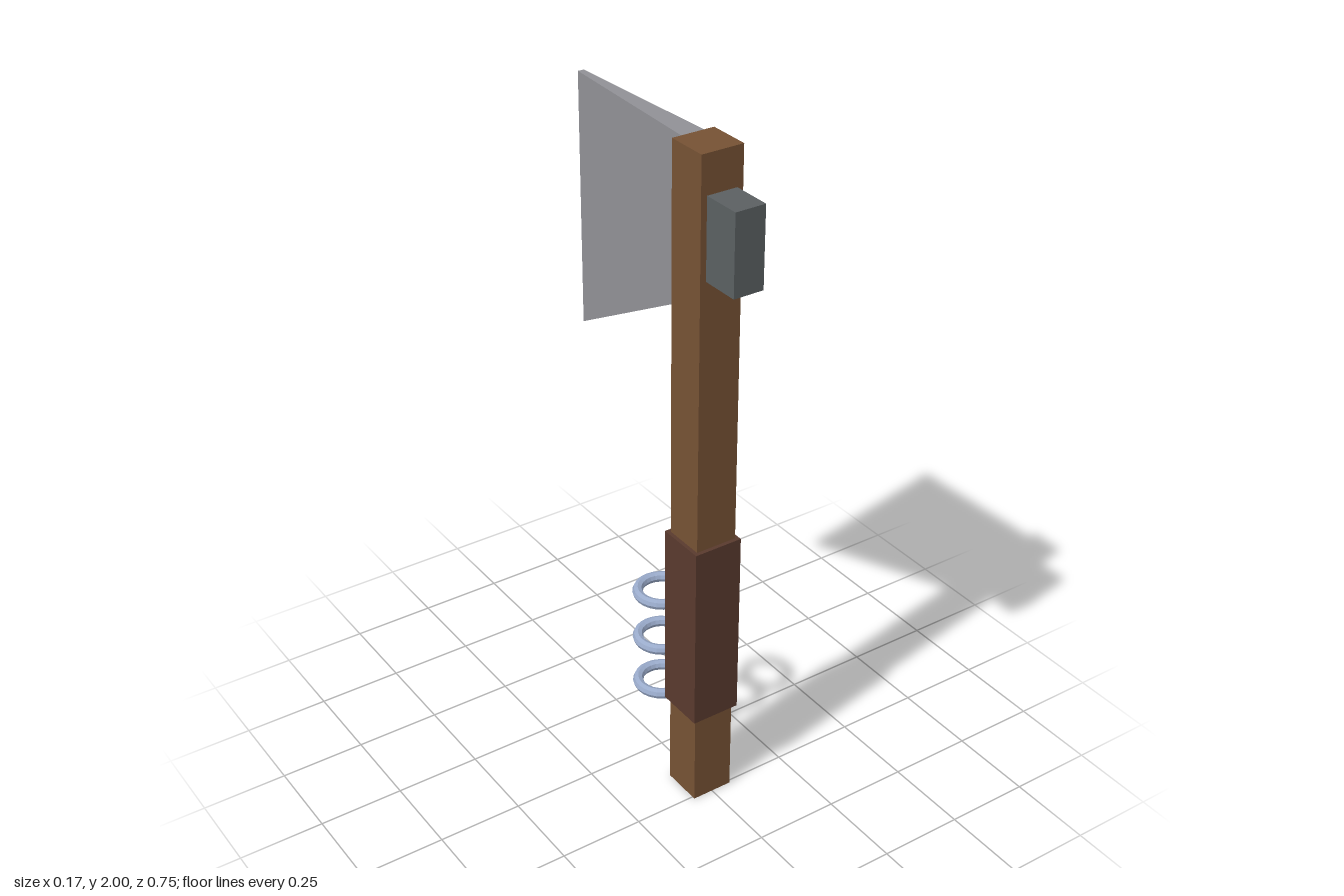
import * as THREE from 'three';

const material = (name, color) => {
  const m = new THREE.MeshStandardMaterial({ color });
  m.name = name;
  return m;
};

export function createModel() {
  const wood = material('wood', 0x765234);
  const leather = material('leather', 0x593a2e);
  const steel = material('steel', 0x919196);
  const iron = material('darkIron', 0x5b6062);
  const ringMetal = material('ringMetal', 0x9aabcb);
  ringMetal.flatShading = true;

  const model = new THREE.Group();
  model.name = 'axe';
  const add = (name, geometry, mat, x, y, z) => {
    const mesh = new THREE.Mesh(geometry, mat);
    mesh.name = name;
    mesh.position.set(x, y, z);
    model.add(mesh);
    return mesh;
  };

  // Square shaft, wrapped grip and blunt poll
  const shaftZ = 0.197;
  add('handle', new THREE.BoxGeometry(0.125, 2, 0.124), wood, 0, 1, shaftZ);
  add('grip', new THREE.BoxGeometry(0.147, 0.57, 0.147), leather, 0, 0.575, shaftZ);
  add('poll', new THREE.BoxGeometry(0.09, 0.23, 0.117), iron, 0, 1.775, 0.3165);

  // Blade: a box tapered in thickness and flared downward towards the edge
  const blade = new THREE.BoxGeometry(1, 1, 1);
  const p = blade.attributes.position;
  for (let i = 0; i < p.count; i++) {
    const root = p.getZ(i) > 0;
    const halfWidth = root ? 0.034 : 0.009;
    const bottom = root ? 1.548 : 1.265;
    p.setXYZ(i, Math.sign(p.getX(i)) * halfWidth, p.getY(i) > 0 ? 1.999 : bottom, root ? 0.136 : -0.375);
  }
  blade.computeVertexNormals();
  add('blade', blade, steel, 0, 0, 0);

  // Three loose rings behind the grip
  const ringGeometry = new THREE.TorusGeometry(0.069, 0.0155, 8, 24);
  [0.243, 0.402, 0.561].forEach((y, i) => {
    add(`ring${i + 1}`, ringGeometry, ringMetal, 0, y, 0).rotation.x = Math.PI / 2;
  });

  return model;
}
